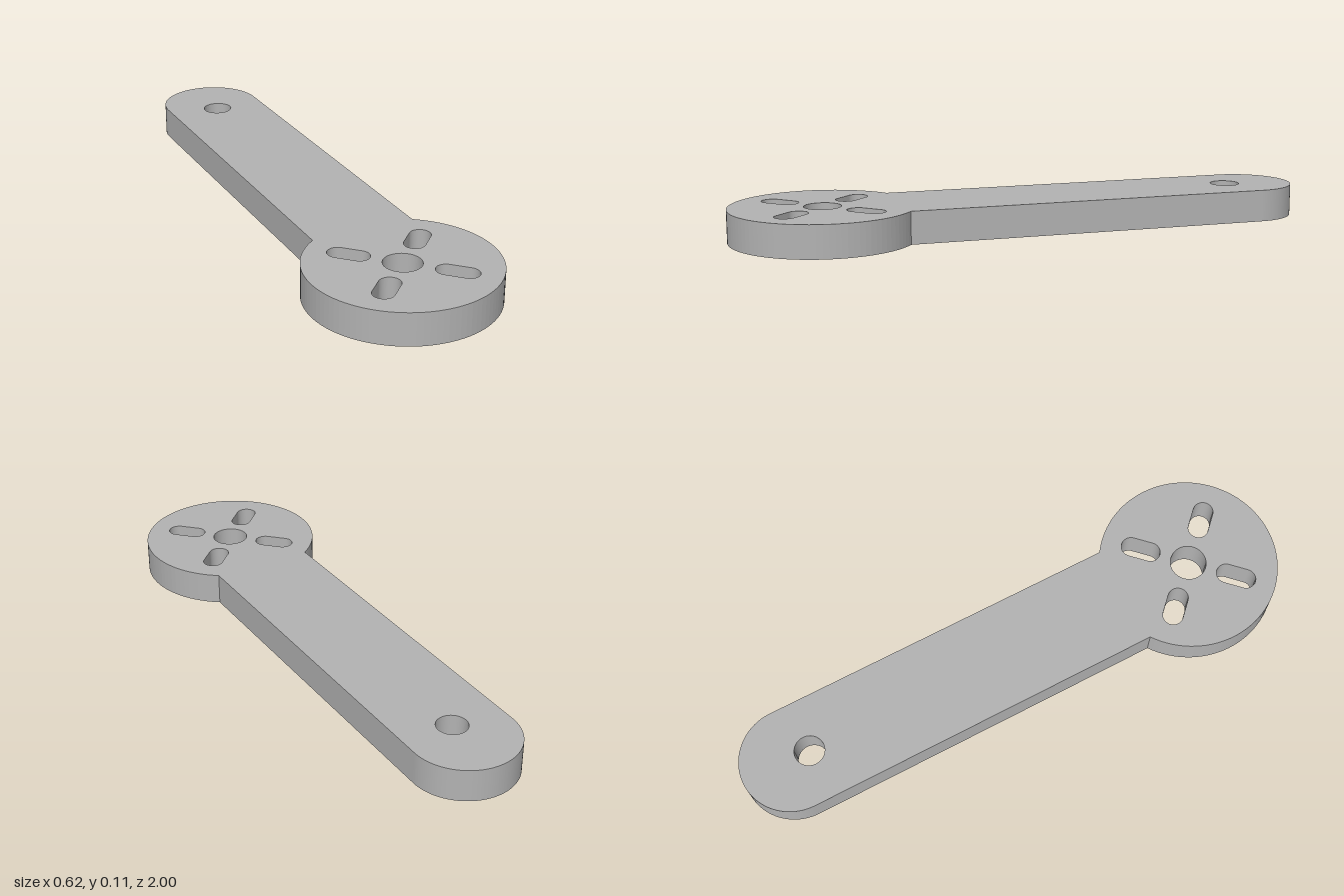
import * as THREE from 'three';

const HEIGHT = 0.11;
const DISC = { y: -0.69, r: 0.31 };   // shape y is -z
const ARM = { y: 0.822, r: 0.178 };
const SLOT = { inner: 0.137, outer: 0.205, r: 0.035 };

function circleHole(y, r) {
  return new THREE.Path().absarc(0, y, r, 0, Math.PI * 2, false);
}

// Rounded slot pointing outward from the disc centre
function slotHole(angle) {
  const c = Math.cos(angle), s = Math.sin(angle), q = Math.PI / 2;
  const path = new THREE.Path();
  path.absarc(c * SLOT.outer, DISC.y + s * SLOT.outer, SLOT.r, angle - q, angle + q, false);
  path.absarc(c * SLOT.inner, DISC.y + s * SLOT.inner, SLOT.r, angle + q, angle + 3 * q, false);
  path.closePath();
  return path;
}

export function createModel() {
  const group = new THREE.Group();
  group.name = 'motorArm';
  const grey = new THREE.MeshStandardMaterial({ color: 0xb3b3b3 });
  grey.name = 'grey';

  // Outline: round mounting disc running into a straight arm with a rounded end
  const join = Math.acos(ARM.r / DISC.r);
  const outline = new THREE.Shape();
  outline.absarc(0, ARM.y, ARM.r, 0, Math.PI, false);
  outline.absarc(0, DISC.y, DISC.r, Math.PI - join, Math.PI * 2 + join, false);
  outline.closePath();

  // Shaft hole, pivot hole and four diagonal slots
  outline.holes.push(circleHole(DISC.y, 0.062), circleHole(0.76, 0.051));
  for (let i = 0; i < 4; i++) outline.holes.push(slotHole(Math.PI / 4 + i * Math.PI / 2));

  const geometry = new THREE.ExtrudeGeometry(outline, {
    depth: HEIGHT, bevelEnabled: false, curveSegments: 40,
  });
  geometry.rotateX(-Math.PI / 2);

  const plate = new THREE.Mesh(geometry, grey);
  plate.name = 'armPlate';
  group.add(plate);
  return group;
}
